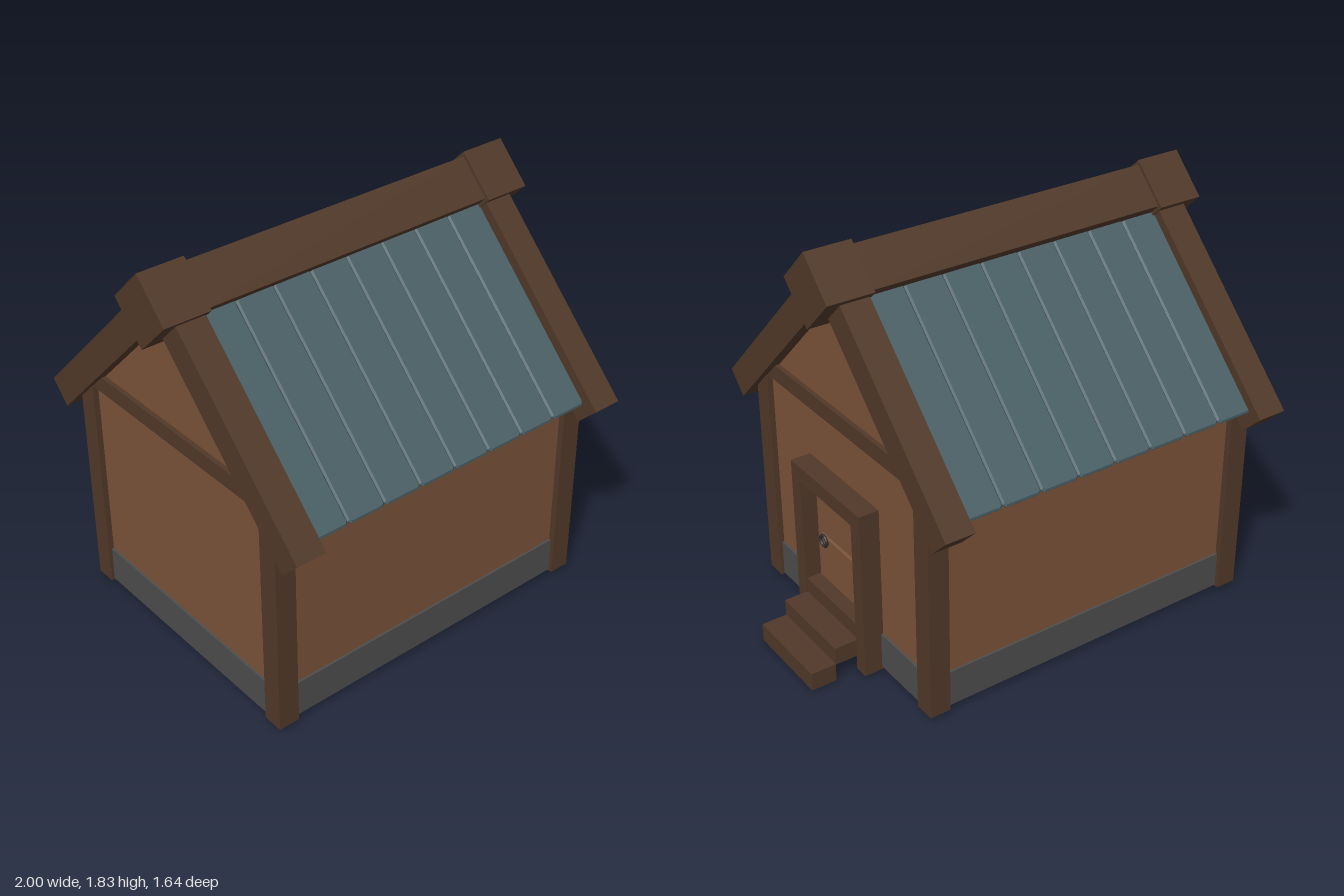
import * as THREE from 'three';

const paint = (color) => new THREE.MeshStandardMaterial({ color, flatShading: true });

export function createModel() {
  const model = new THREE.Group();
  const timber = paint(0x513929);
  const plaster = paint(0x7a5239);
  const slate = paint(0x4a6066);
  const stone = paint(0x4d4d4d);
  const iron = paint(0x2e2e2e);

  function add(name, geometry, material, parent = model) {
    const mesh = new THREE.Mesh(geometry, material);
    mesh.name = name;
    parent.add(mesh);
    return mesh;
  }

  // Box given by its minimum and maximum on each axis
  function block(name, [x0, x1], [y0, y1], [z0, z1], material, parent) {
    const g = new THREE.BoxGeometry(x1 - x0, y1 - y0, z1 - z0);
    g.translate((x0 + x1) / 2, (y0 + y1) / 2, (z0 + z1) / 2);
    return add(name, g, material, parent);
  }

  // Walls with both gables in one prism, running along x
  const section = new THREE.Shape([
    [-0.62, 0.1], [0.62, 0.1], [0.62, 1.06], [0, 1.68], [-0.62, 1.06],
  ].map(([z, y]) => new THREE.Vector2(z, y)));
  const walls = new THREE.ExtrudeGeometry(section, { depth: 1.57, bevelEnabled: false });
  walls.rotateY(Math.PI / 2).translate(-0.88, 0, 0);
  add('walls', walls, plaster);
  block('foundation', [-0.89, 0.70], [0.025, 0.19], [-0.63, 0.63], stone);

  // Corner posts and gable crossbeams
  for (const x of [[-0.905, -0.81], [0.62, 0.715]]) {
    block('cornerPost', x, [0.02, 1.035], [0.555, 0.648], timber);
    block('cornerPost', x, [0.02, 1.035], [-0.648, -0.555], timber);
  }
  block('gableCrossbeam', [-0.90, -0.84], [1.035, 1.11], [-0.555, 0.555], timber);
  block('gableCrossbeam', [0.65, 0.71], [1.035, 1.11], [-0.555, 0.555], timber);

  // Roof plank: clipped corners in plan, chamfered edges
  const planks = 8, roofStart = -0.815, pitch = 0.179;
  const bevel = 0.008, thick = 0.022, clip = 0.008;
  const w = pitch / 2 - bevel, top = 0.1, end = 1.068 - bevel;
  const plan = new THREE.Shape([
    [-w, top], [w, top], [w, end - clip], [w - clip, end], [-w + clip, end], [-w, end - clip],
  ].map(([x, z]) => new THREE.Vector2(x, z)));
  const plankGeometry = new THREE.ExtrudeGeometry(plan, {
    depth: thick - 2 * bevel, bevelEnabled: true, bevelSegments: 1,
    bevelSize: bevel, bevelThickness: bevel,
  });
  plankGeometry.rotateX(Math.PI / 2).translate(0, -bevel, 0);

  // Each slope hangs from the apex at 45 degrees
  for (const side of [1, -1]) {
    const slope = new THREE.Group();
    slope.name = side > 0 ? 'frontRoofSlope' : 'backRoofSlope';
    slope.position.y = 1.724;
    slope.rotation.x = side * Math.PI / 4;
    model.add(slope);
    for (let i = 0; i < planks; i++) {
      const plank = add('roofPlank', plankGeometry, slate, slope);
      plank.position.x = roofStart + pitch * (i + 0.5);
      if (side < 0) plank.rotation.y = Math.PI;
    }
    // Verge beams stand proud of the planks
    const verge = new THREE.Group();
    verge.name = 'vergeBeams';
    verge.position.y = 1.78;
    verge.rotation.x = side * Math.PI / 4;
    model.add(verge);
    const z = side > 0 ? [0, 1.16] : [-1.16, 0];
    block('vergeBeam', [-0.935, -0.80], [-0.13, 0], z, timber, verge);
    block('vergeBeam', [0.615, 0.747], [-0.13, 0], z, timber, verge);
  }

  // Ridge beam and its end blocks, set on edge
  function ridge(name, x0, x1, halfDiagonal) {
    const edge = halfDiagonal * Math.SQRT2;
    const beam = add(name, new THREE.BoxGeometry(x1 - x0, edge, edge), timber);
    beam.position.set((x0 + x1) / 2, 1.668, 0);
    beam.rotation.x = Math.PI / 4;
  }
  ridge('ridgeBeam', -0.85, 0.65, 0.139);
  ridge('ridgeEndBlock', -1, -0.79, 0.16);
  ridge('ridgeEndBlock', 0.605, 0.815, 0.16);

  // Door frame
  block('doorJamb', [0.52, 0.782], [0.012, 0.79], [0.2, 0.265], timber);
  block('doorJamb', [0.52, 0.782], [0.012, 0.79], [-0.265, -0.2], timber);
  block('doorLintel', [0.52, 0.782], [0.72, 0.79], [-0.2, 0.2], timber);

  // Door leaf with two chamfered panels and a ring handle
  block('door', [0.65, 0.71], [0.2, 0.72], [-0.195, 0.195], plaster);
  for (const [y0, y1] of [[0.26, 0.465], [0.485, 0.69]]) {
    const h = (y1 - y0) / 2 - 0.006, d = 0.164, c = 0.01;
    const outline = new THREE.Shape([
      [-d + c, -h], [d - c, -h], [d, -h + c], [d, h - c],
      [d - c, h], [-d + c, h], [-d, h - c], [-d, -h + c],
    ].map(([a, b]) => new THREE.Vector2(a, b)));
    const panel = new THREE.ExtrudeGeometry(outline, {
      depth: 0.004, bevelSize: 0.006, bevelThickness: 0.006, bevelSegments: 1,
    });
    panel.rotateY(Math.PI / 2).translate(0.71, (y0 + y1) / 2, 0);
    add('doorPanel', panel, plaster);
  }
  const ring = add('doorHandle', new THREE.TorusGeometry(0.025, 0.007, 6, 16), iron);
  ring.position.set(0.727, 0.445, 0.125);
  ring.rotation.y = Math.PI / 2;

  // Sill and two steps
  block('doorSill', [0.66, 0.775], [0.16, 0.232], [-0.2, 0.2], timber);
  block('upperStep', [0.66, 0.885], [0.08, 0.16], [-0.199, 0.199], timber);
  block('upperTread', [0.782, 0.885], [0.08, 0.16], [-0.205, 0.205], timber);
  block('lowerStep', [0.885, 1], [0, 0.083], [-0.205, 0.205], timber);

  return model;
}
